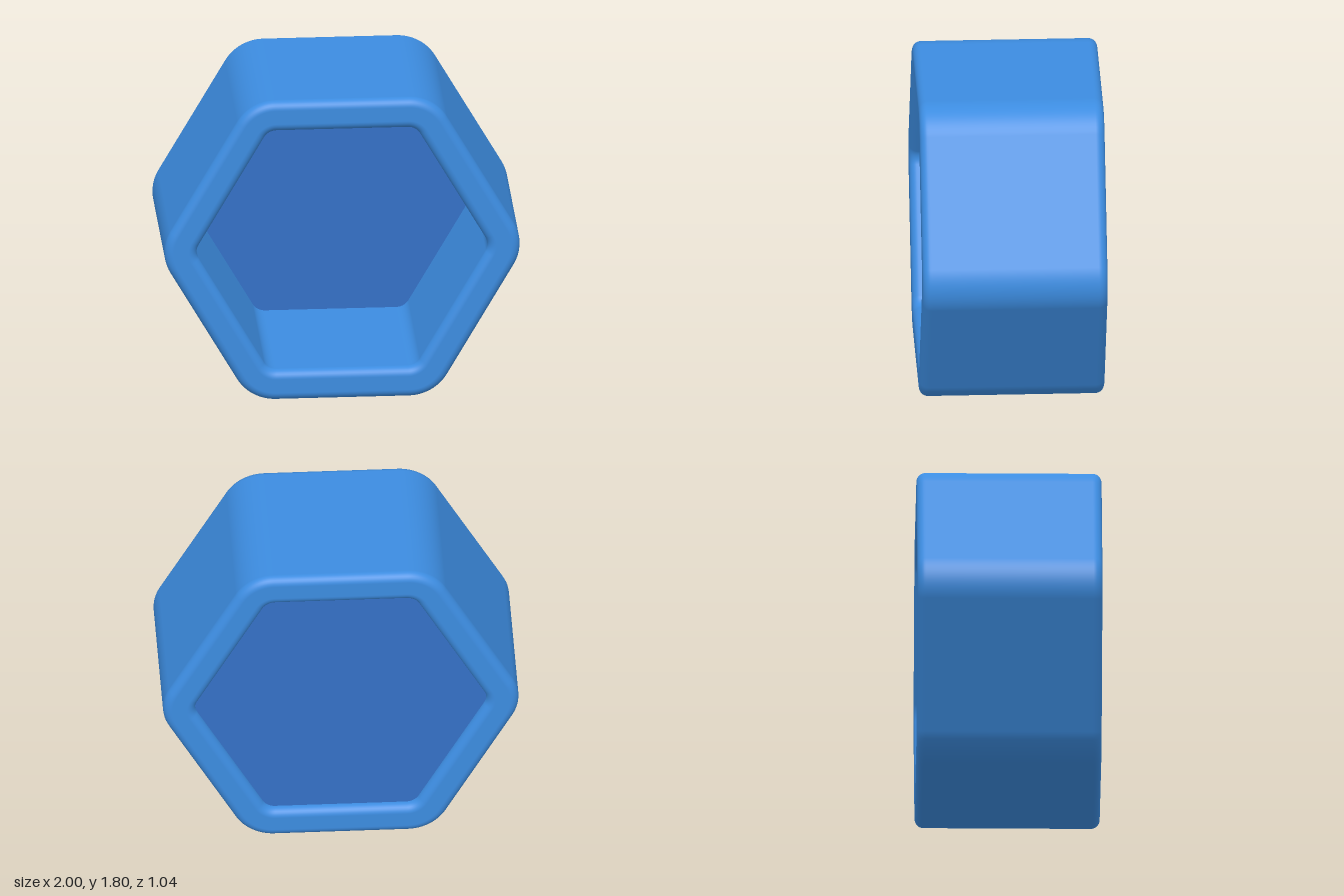
import * as THREE from 'three';

const CY = 0.9;                 // height of the hexagon's centre
const HALF = 0.52;              // half depth
const BEVEL = 0.05;             // rounding of the rim edges
const COS30 = Math.cos(Math.PI / 6);

// Corners of a hexagon of given apothem and corner radius: arc centre and direction
function hexLoop(apothem, radius, steps = 12) {
  const d = (apothem - radius) / COS30, loop = [];
  for (let k = 0; k < 6; k++) {
    const mid = k * Math.PI / 3;
    for (let s = 0; s <= steps; s++) {
      const t = mid + (s / steps - 0.5) * Math.PI / 3;
      const nx = Math.cos(t), ny = Math.sin(t);
      loop.push({ x: d * Math.cos(mid) + radius * nx, y: d * Math.sin(mid) + radius * ny, nx, ny });
    }
  }
  return loop;
}

// Wall section: four quarter rounds joined by flats, swept around the hexagon
function ringGeometry(outer, inner) {
  const section = [];
  const quarters = [[outer, 1, -1], [outer, 1, 1], [inner, -1, 1], [inner, -1, -1]];
  quarters.forEach(([wall, side, end], q) => {
    for (let s = 0; s <= 8; s++) {
      const a = (q - 1 + s / 8) * Math.PI / 2;
      const nr = Math.cos(a), nz = Math.sin(a);
      const offset = BEVEL * (nr - side);
      section.push({ a: wall.a + offset, r: wall.r + offset, z: end * (HALF - BEVEL) + BEVEL * nz, nr, nz });
    }
  });
  const pos = [], nor = [], idx = [];
  const loops = section.map(p => hexLoop(p.a, p.r));
  const n = loops[0].length, m = section.length;
  section.forEach((p, i) => loops[i].forEach((v, j) => {
    pos.push(v.x, v.y, p.z);
    nor.push(v.nx * p.nr, v.ny * p.nr, p.nz);
    const i2 = (i + 1) % m, j2 = (j + 1) % n;
    const a = i * n + j, b = i * n + j2, c = i2 * n + j2, d = i2 * n + j;
    idx.push(a, b, c, a, c, d);
  }));
  const g = new THREE.BufferGeometry();
  g.setAttribute('position', new THREE.Float32BufferAttribute(pos, 3));
  g.setAttribute('normal', new THREE.Float32BufferAttribute(nor, 3));
  g.setIndex(idx);
  return g;
}

export function createModel() {
  const frameBlue = new THREE.MeshStandardMaterial({ color: 0x3c8ce0 });
  frameBlue.name = 'frame blue';
  const panelBlue = new THREE.MeshStandardMaterial({ color: 0x3470c6 });
  panelBlue.name = 'panel blue';

  const group = new THREE.Group();
  group.name = 'hexagonalCubby';

  // Hollow hexagonal frame with soft edges
  const frame = new THREE.Mesh(ringGeometry({ a: 0.9, r: 0.25 }, { a: 0.72, r: 0.08 }), frameBlue);
  frame.name = 'frame';
  frame.position.y = CY;
  group.add(frame);

  // Panel closing the back, its edge let into the frame
  const outline = new THREE.Shape(hexLoop(0.723, 0.083).map(p => new THREE.Vector2(p.x, p.y)));
  const panel = new THREE.Mesh(
    new THREE.ExtrudeGeometry(outline, { depth: 0.04, bevelEnabled: false }), panelBlue);
  panel.name = 'backPanel';
  panel.position.set(0, CY, -0.47);
  group.add(panel);

  return group;
}
